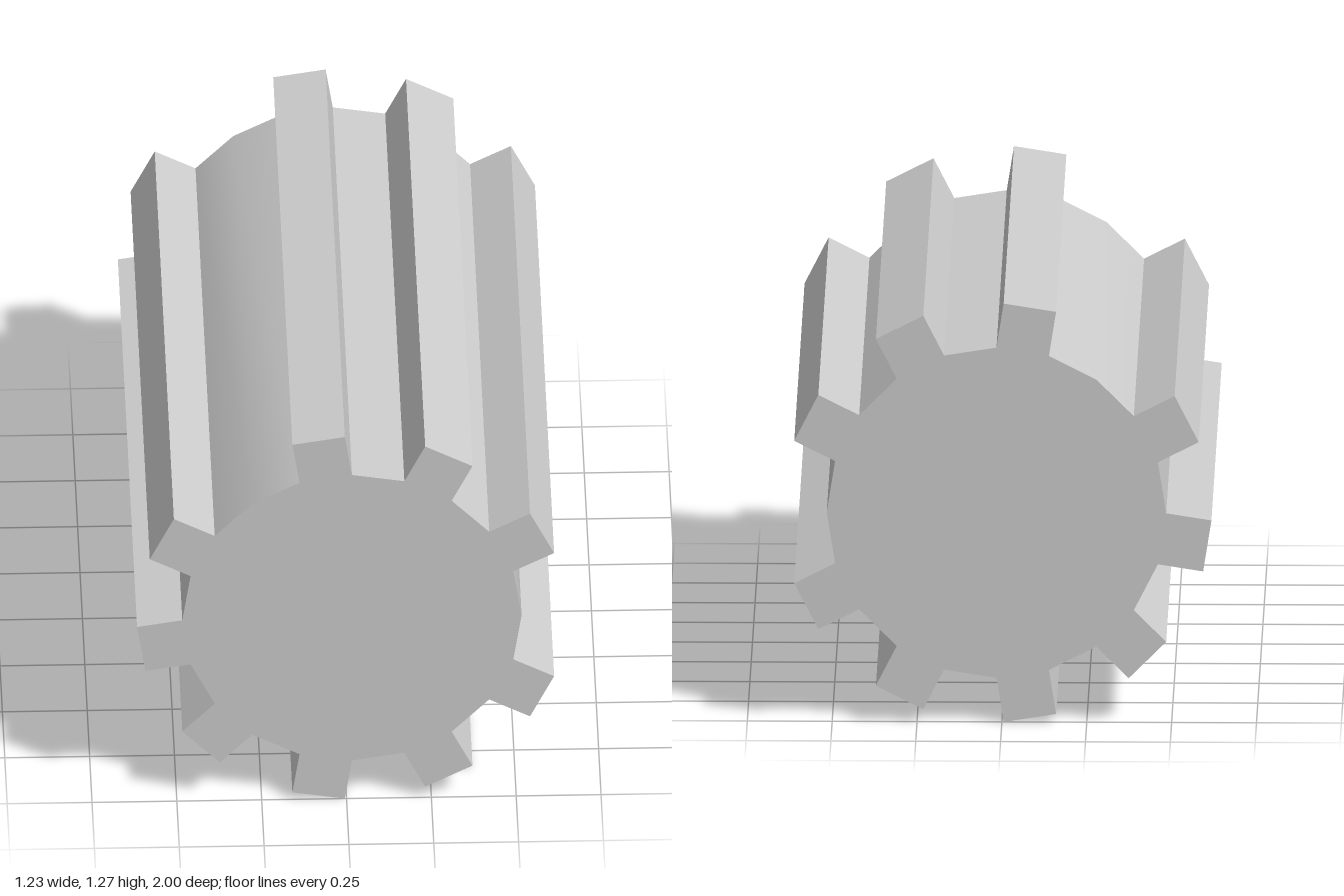
import * as THREE from 'three';
import { toCreasedNormals } from 'three/addons/utils/BufferGeometryUtils.js';

const SIDES = 20, RADIUS = 0.5, TOOTH = 0.135, LENGTH = 2;
const CENTRE = new THREE.Vector2(0.016, 0.635);
// sides of the core polygon that carry a tooth, counted anticlockwise from +x
const TOOTHED = new Set([1, 3, 5, 8, 10, 12, 14, 16, 18]);

function corner(k) {
  const a = (k / SIDES) * Math.PI * 2;
  return new THREE.Vector2(Math.cos(a), Math.sin(a)).multiplyScalar(RADIUS).add(CENTRE);
}

// outline of the core with square teeth raised from the chosen sides
function gearOutline() {
  const points = [];
  for (let k = 0; k < SIDES; k++) {
    const p = corner(k);
    points.push(p);
    if (!TOOTHED.has(k)) continue;
    const mid = ((k + 0.5) / SIDES) * Math.PI * 2;
    const out = new THREE.Vector2(Math.cos(mid), Math.sin(mid)).multiplyScalar(TOOTH);
    points.push(p.clone().add(out), corner(k + 1).add(out));
  }
  return new THREE.Shape(points);
}

export function createModel() {
  const group = new THREE.Group();
  group.name = 'pinionGear';

  // long toothed barrel, smooth across the untoothed sides
  const geometry = new THREE.ExtrudeGeometry(gearOutline(), { depth: LENGTH, bevelEnabled: false });
  geometry.translate(0, 0, -LENGTH / 2);
  const barrel = new THREE.Mesh(
    toCreasedNormals(geometry, 0.6),
    new THREE.MeshStandardMaterial({ color: 0xcccccc })
  );
  barrel.name = 'toothedBarrel';
  group.add(barrel);
  return group;
}
